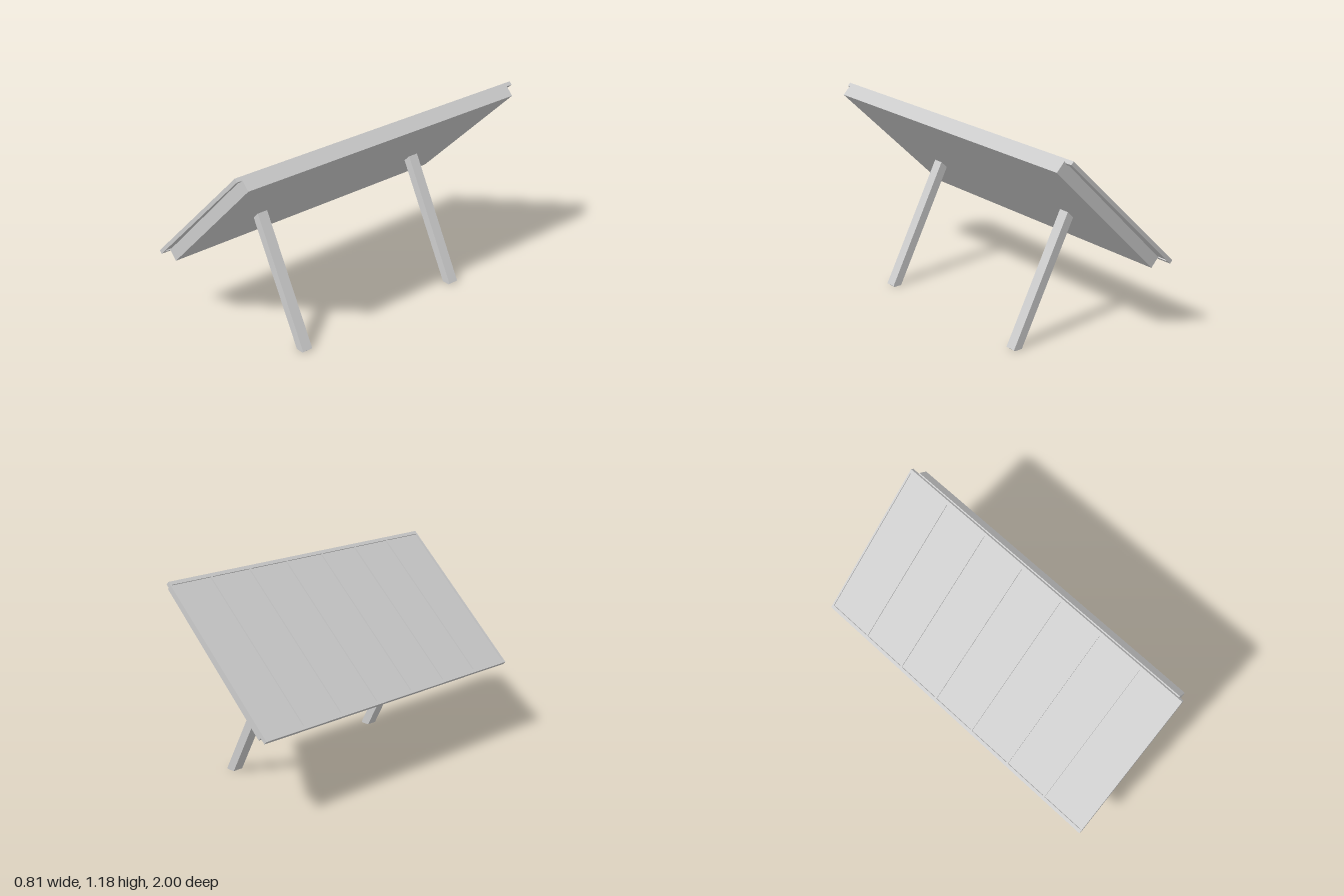
import * as THREE from 'three';

const material = new THREE.MeshStandardMaterial({ color: 0xcccccc, flatShading: true });

function addMesh(parent, geometry, name) {
  const mesh = new THREE.Mesh(geometry, material);
  mesh.name = name;
  parent.add(mesh);
  return mesh;
}

function rectangle(path, x0, y0, x1, y1) {
  path.moveTo(x0, y0);
  path.lineTo(x1, y0);
  path.lineTo(x1, y1);
  path.lineTo(x0, y1);
  path.closePath();
  return path;
}

export function createModel() {
  const model = new THREE.Group();
  model.name = 'solarPanel';

  // Tilted frame: local x runs up the slope, local y is the panel normal
  const length = 1.032, thickness = 0.023, lip = 0.022, sideLip = 0.01, bar = 0.012, cells = 7;
  const cellWidth = (2 - 2 * sideLip - (cells - 1) * bar) / cells;
  const panel = new THREE.Group();
  panel.name = 'panel';
  panel.position.set(-0.389, 0.448, 0);
  panel.rotation.z = Math.atan2(0.716, 0.7435);
  model.add(panel);

  const outline = rectangle(new THREE.Shape(), 0, -1, length, 1);
  for (let i = 0; i < cells; i++) {
    const z0 = -1 + sideLip + i * (cellWidth + bar);
    outline.holes.push(rectangle(new THREE.Path(), lip, z0, length - lip, z0 + cellWidth));

    // Recessed cell plate inside each frame opening
    const plate = addMesh(panel, new THREE.BoxGeometry(length - 2 * lip, 0.011, cellWidth), 'cellPlate');
    plate.position.set(length / 2, thickness / 2, z0 + cellWidth / 2);
  }
  const frame = new THREE.ExtrudeGeometry(outline, { depth: thickness, bevelEnabled: false });
  frame.rotateX(-Math.PI / 2);
  addMesh(panel, frame, 'frame');

  // Backing box, slightly off-centre and a touch steeper than the frame
  const backing = addMesh(model, new THREE.BoxGeometry(0.983, 0.071, 1.922), 'backing');
  backing.position.set(0.031, 0.803, 0.009);
  backing.rotation.z = Math.atan2(0.69, 0.7);

  // Slanted legs, running a little way into the backing
  const side = new THREE.Shape([
    [0.319, 0], [0.368, 0], [0.375, 0.006], [-0.005, 0.726], [-0.05, 0.697]
  ].map(([x, y]) => new THREE.Vector2(x, y)));
  for (const z of [0.547, -0.592]) {
    const leg = addMesh(model, new THREE.ExtrudeGeometry(side, { depth: 0.064, bevelEnabled: false }), 'leg');
    leg.position.z = z;
  }
  return model;
}
